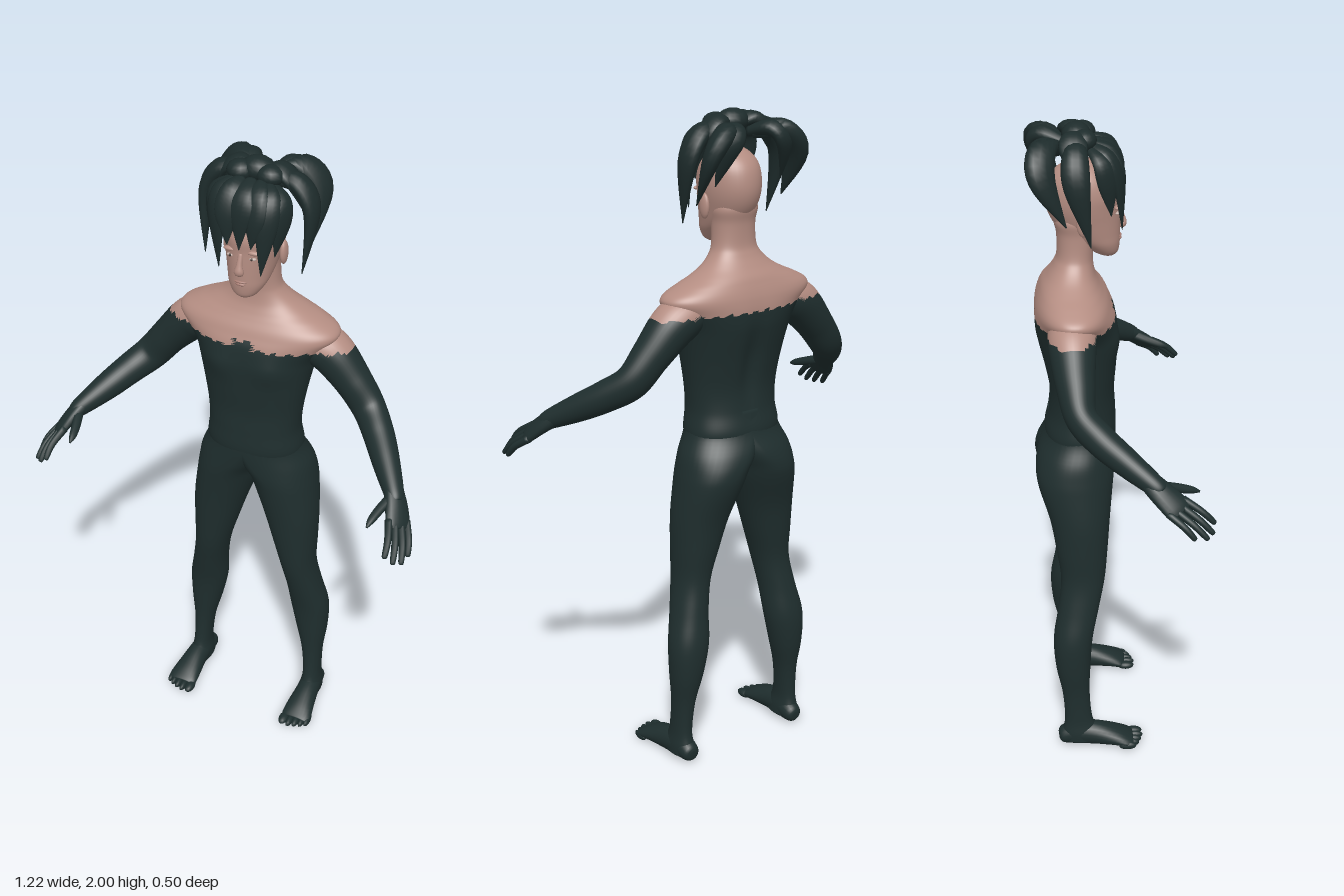
import * as THREE from 'three';

const V = (x, y, z) => new THREE.Vector3(x, y, z);
const mat = (name, color, side = THREE.FrontSide) => {
  const m = new THREE.MeshStandardMaterial({ color, side });
  m.name = name;
  return m;
};

// Smoothly resample rows of numbers (Catmull-Rom on every column)
function smooth(rows, steps) {
  const out = [];
  for (let i = 0; i < rows.length - 1; i++) {
    const p = rows[Math.max(i - 1, 0)], a = rows[i], b = rows[i + 1], n = rows[Math.min(i + 2, rows.length - 1)];
    for (let s = 0; s < steps; s++) {
      const t = s / steps;
      out.push(a.map((_, k) => {
        const m0 = (b[k] - p[k]) / 2, m1 = (n[k] - a[k]) / 2, d = b[k] - a[k];
        return a[k] + t * (m0 + t * (3 * d - 2 * m0 - m1 + t * (m0 + m1 - 2 * d)));
      }));
    }
  }
  out.push(rows[rows.length - 1]);
  return out;
}

// Skin closed rings into a capped smooth surface
function skinRings(rings) {
  const n = rings[0].length, pos = [], idx = [];
  rings.forEach(r => r.forEach(p => pos.push(p.x, p.y, p.z)));
  for (let i = 0; i < rings.length - 1; i++) for (let j = 0; j < n; j++) {
    const k = (j + 1) % n, a = i * n + j, b = i * n + k, c = b + n, d = a + n;
    idx.push(a, b, c, a, c, d);
  }
  [0, rings.length - 1].forEach(e => {
    const c = rings[e].reduce((s, p) => s.add(p), V(0, 0, 0)).divideScalar(n);
    const m = pos.length / 3;
    pos.push(c.x, c.y, c.z);
    for (let j = 0; j < n; j++) {
      const a = e * n + j, b = e * n + (j + 1) % n;
      idx.push(...(e ? [a, b, m] : [b, a, m]));
    }
  });
  const g = new THREE.BufferGeometry();
  g.setAttribute('position', new THREE.Float32BufferAttribute(pos, 3));
  g.setIndex(idx);
  g.computeVertexNormals();
  return g;
}

// Upright form, rows from bottom to top: y, left x, right x, front z, back z, x of the deepest point
function upright(rows, steps, n, power = 1, rule = p => p) {
  return skinRings(smooth(rows, steps).map(([y, x0, x1, zf, zb, xc]) => Array.from({ length: n }, (_, j) => {
    const a = j / n * Math.PI * 2, c = Math.cos(a), s = Math.sin(a);
    const q = v => Math.sign(v) * Math.abs(v) ** power;
    return rule(V(xc + q(c) * (c > 0 ? x1 - xc : xc - x0), y, (zf + zb) / 2 - q(s) * (zf - zb) / 2));
  })));
}

// Form along a path; rows: x, y, z, radius along side, radius across
function limb(rows, side, steps = 4, n = 12) {
  const r = smooth(rows, steps), at = i => V(...r[Math.min(Math.max(i, 0), r.length - 1)].slice(0, 3));
  return skinRings(r.map((row, i) => {
    const d = at(i + 1).sub(at(i - 1)).normalize();
    const u = side.clone().addScaledVector(d, -side.dot(d)).normalize(), v = d.clone().cross(u);
    return Array.from({ length: n }, (_, j) => {
      const a = j / n * Math.PI * 2;
      return at(i).addScaledVector(u, Math.cos(a) * row[3]).addScaledVector(v, Math.sin(a) * row[4]);
    });
  }));
}

const blob = (x, y, z, rx, ry, rz) => new THREE.SphereGeometry(1, 16, 10).scale(rx, ry, rz).translate(x, y, z);

function mirrored(g) {
  const m = g.clone().scale(-1, 1, 1), ix = m.index.array;
  for (let i = 0; i < ix.length; i += 3) [ix[i], ix[i + 1]] = [ix[i + 1], ix[i]];
  m.computeVertexNormals();
  return m;
}

// Split faces into suit (0) and bare skin (1) along the ragged neckline
function splitAtNeckline(g) {
  const p = g.attributes.position, ix = g.index.array, parts = [[], []];
  for (let i = 0; i < ix.length; i += 3) {
    const t = [ix[i], ix[i + 1], ix[i + 2]];
    const mean = f => t.reduce((s, k) => s + f(k), 0) / 3;
    const x = mean(k => p.getX(k)), y = mean(k => p.getY(k)), z = mean(k => p.getZ(k));
    const line = 1.438 + 0.004 * Math.sin(x * 150) + (Math.abs(x) < 0.032 && z > -0.1 ? 0.02 : 0);
    parts[y < line ? 0 : 1].push(...t);
  }
  g.setIndex([...parts[0], ...parts[1]]);
  g.addGroup(0, parts[0].length, 0);
  g.addGroup(parts[0].length, parts[1].length, 1);
  return g;
}

export function createModel() {
  const suit = mat('dark suit', 0x1f2e2e), skin = mat('skin', 0xb48d82), hair = mat('dark hair', 0x1e2c2c, THREE.DoubleSide);
  const lip = mat('lips', 0xa67c72), white = mat('eye white', 0xc4b0a8), iris = mat('iris', 0x3a2e2a);
  const model = new THREE.Group();
  const add = (name, g, m, both = false) => {
    (both ? [g, mirrored(g)] : [g]).forEach((geo, i) => {
      const mesh = new THREE.Mesh(geo, m);
      mesh.name = both ? (i ? 'right ' : 'left ') + name : name;
      model.add(mesh);
    });
  };
  const sym = rows => rows.map(([y, w, f, b]) => [y, -w, w, f, b, 0]);

  // Torso, shoulders and neck, with a spine groove and soft chest
  const torso = upright(sym([
    [1, 0.14, -0.015, -0.195], [1.06, 0.153, 0.004, -0.212], [1.13, 0.145, 0.003, -0.2], [1.2, 0.15, 0, -0.197],
    [1.28, 0.163, 0.006, -0.21], [1.36, 0.18, 0.01, -0.228], [1.4, 0.194, 0.008, -0.235], [1.44, 0.223, 0.002, -0.236],
    [1.47, 0.25, -0.01, -0.233], [1.492, 0.242, -0.02, -0.228], [1.515, 0.2, -0.034, -0.22], [1.535, 0.155, -0.045, -0.211],
    [1.56, 0.112, -0.055, -0.194], [1.59, 0.081, -0.06, -0.176], [1.62, 0.068, -0.06, -0.166],
    [1.68, 0.065, -0.055, -0.166], [1.72, 0.07, -0.055, -0.174], [1.75, 0.06, -0.06, -0.17]]), 7, 88, 0.9, p => {
    if (p.z < -0.12) p.z += 0.016 * Math.exp(-((p.x / 0.03) ** 2) - ((p.y - 1.28) / 0.12) ** 2);
    else p.z += 0.01 * Math.exp(-(((Math.abs(p.x) - 0.085) / 0.05) ** 2) - ((p.y - 1.37) / 0.05) ** 2);
    return p;
  });
  add('torso and shoulders', splitAtNeckline(torso), [suit, skin]);

  // Arms
  add('arm', splitAtNeckline(limb([
    [0.12, 1.445, -0.13, 0.05, 0.045], [0.165, 1.44, -0.13, 0.066, 0.058], [0.2, 1.427, -0.13, 0.07, 0.066],
    [0.24, 1.398, -0.13, 0.066, 0.066], [0.3, 1.332, -0.125, 0.056, 0.057], [0.357, 1.262, -0.112, 0.046, 0.053],
    [0.41, 1.217, -0.06, 0.045, 0.048], [0.46, 1.175, 0.005, 0.04, 0.042], [0.515, 1.13, 0.08, 0.03, 0.029],
    [0.53, 1.115, 0.1, 0.022, 0.02]], V(0, 0, 1), 9, 36)), [suit, skin], true);

  // Hands
  const across = V(0.62, -0.37, -0.68).normalize();
  add('palm', limb([[0.505, 1.14, 0.065, 0.03, 0.027], [0.53, 1.112, 0.1, 0.037, 0.022], [0.551, 1.08, 0.137, 0.041, 0.017],
    [0.561, 1.065, 0.152, 0.034, 0.011]], across, 4, 18), suit, true);
  [[0.553, 1.025, 0.247], [0.577, 1.006, 0.241], [0.597, 1, 0.224], [0.604, 1.004, 0.188]].forEach((tip, i) => {
    const base = V(0.55, 1.081, 0.136).addScaledVector(across, -0.032 + i * 0.021);
    const mid = base.clone().lerp(V(...tip), 0.55).add(V(0.005, 0.006, 0.002));
    add('finger ' + (i + 1), limb([[...base, 0.011, 0.012], [...mid, 0.01, 0.0105], [...V(...tip).lerp(mid, 0.12), 0.008, 0.008],
      [...tip, 0.002, 0.002]], across, 4, 10), suit, true);
  });
  add('thumb', limb([[0.515, 1.125, 0.09, 0.016, 0.016], [0.497, 1.11, 0.14, 0.014, 0.014], [0.486, 1.096, 0.185, 0.011, 0.011],
    [0.483, 1.088, 0.21, 0.003, 0.003]], across, 4, 10), suit, true);

  // Hips and legs: the two halves meet along the middle of the body
  add('hip and leg', upright([
    [0.02, 0.172, 0.242, -0.05, -0.183, 0.207], [0.05, 0.173, 0.242, -0.06, -0.18, 0.207], [0.1, 0.178, 0.236, -0.082, -0.17, 0.207],
    [0.2, 0.168, 0.236, -0.09, -0.176, 0.202], [0.3, 0.143, 0.246, -0.086, -0.195, 0.195], [0.4, 0.122, 0.247, -0.078, -0.2, 0.185],
    [0.5, 0.113, 0.226, -0.058, -0.184, 0.17], [0.6, 0.095, 0.209, -0.038, -0.173, 0.152], [0.7, 0.066, 0.209, -0.028, -0.186, 0.138],
    [0.8, 0.035, 0.208, -0.02, -0.203, 0.122], [0.9, 0, 0.198, -0.01, -0.234, 0.097], [0.95, -0.015, 0.191, -0.004, -0.242, 0.074],
    [1, -0.04, 0.18, 0.001, -0.236, 0.035], [1.06, -0.05, 0.154, 0.0045, -0.213, 0], [1.13, -0.05, 0.144, 0.002, -0.199, 0]],
  5, 44, 0.94), suit, true);

  // Feet and toes
  add('foot', limb([
    [0.205, 0.03, -0.19, 0.012, 0.014], [0.205, 0.032, -0.178, 0.028, 0.028], [0.207, 0.042, -0.13, 0.034, 0.041],
    [0.211, 0.04, -0.07, 0.038, 0.039], [0.213, 0.03, -0.01, 0.046, 0.029], [0.215, 0.02, 0.03, 0.05, 0.019],
    [0.215, 0.017, 0.047, 0.04, 0.012]], V(1, 0, 0), 4, 24), suit, true);
  [[0.178, 0.058, 0.016], [0.201, 0.06, 0.011], [0.221, 0.054, 0.011], [0.24, 0.046, 0.01], [0.256, 0.036, 0.01]]
    .forEach(([x, z, r], i) => add('toe ' + (i + 1), blob(x, 0.014, z - 0.006, r, 0.013, 0.028), suit, true));

  // Head and face
  add('head', upright(sym([
    [1.61, 0.018, 0, -0.035], [1.622, 0.037, 0.012, -0.06], [1.65, 0.056, 0.017, -0.1], [1.68, 0.066, 0.018, -0.145],
    [1.72, 0.075, 0.018, -0.178], [1.76, 0.083, 0.017, -0.194], [1.8, 0.086, 0.018, -0.196], [1.84, 0.08, 0.002, -0.186],
    [1.87, 0.062, -0.025, -0.162], [1.89, 0.035, -0.055, -0.125], [1.896, 0.008, -0.085, -0.1]]), 4, 40), skin);
  add('nose', limb([[0, 1.757, 0.012, 0.007, 0.007], [0, 1.725, 0.022, 0.009, 0.009], [0, 1.704, 0.025, 0.015, 0.012],
    [0, 1.694, 0.018, 0.01, 0.006]], V(1, 0, 0)), skin);
  add('ear', blob(0.087, 1.73, -0.09, 0.011, 0.037, 0.02), skin, true);
  add('brow ridge', blob(0.034, 1.763, 0.006, 0.022, 0.007, 0.009), skin, true);
  add('upper lip', blob(0, 1.669, 0.015, 0.02, 0.004, 0.007), lip);
  add('lower lip', blob(0, 1.661, 0.014, 0.016, 0.005, 0.008), lip);
  add('eye', blob(0.033, 1.745, 0.007, 0.012, 0.004, 0.007), white, true);
  add('iris', blob(0.033, 1.745, 0.0115, 0.004, 0.004, 0.004), iris, true);

  // Hair locks: root, bend, belly and tip points, with width and thickness of each
  const lock = (name, pts, w, t, side, both = true) => add(name, limb(pts.map((p, i) =>
    [...p, w * [0.45, 0.95, 1, 0.04][i], t * [0.6, 1, 0.8, 0.05][i]]), side, 6, 14), hair, both);
  const X = V(1, 0, 0.15), Z = V(0, 0, 1);
  lock('centre fringe lock', [[0, 1.95, -0.06], [0, 1.93, -0.01], [0, 1.88, 0.018], [0, 1.775, 0.026]], 0.036, 0.014, X, false);
  lock('inner fringe lock', [[0.03, 1.95, -0.06], [0.04, 1.93, -0.012], [0.042, 1.87, 0.016], [0.036, 1.785, 0.026]], 0.034, 0.016, X);
  lock('middle fringe lock', [[0.05, 1.945, -0.06], [0.075, 1.92, -0.018], [0.075, 1.85, 0.01], [0.064, 1.705, 0.02]], 0.032, 0.017, V(1, 0, -0.5));
  lock('outer fringe lock', [[0.06, 1.94, -0.07], [0.1, 1.912, -0.038], [0.105, 1.85, -0.022], [0.092, 1.755, -0.012]], 0.032, 0.016, V(0.6, 0, -1));
  lock('side lock', [[0.05, 1.94, -0.1], [0.115, 1.94, -0.112], [0.16, 1.86, -0.11], [0.15, 1.685, -0.072]], 0.037, 0.027, Z);
  lock('back lock', [[0.035, 1.935, -0.15], [0.095, 1.945, -0.2], [0.147, 1.88, -0.205], [0.15, 1.745, -0.14]], 0.041, 0.03, V(-0.5, 0, 1));
  lock('inner back lock', [[0.03, 1.935, -0.14], [0.065, 1.95, -0.2], [0.098, 1.91, -0.22], [0.115, 1.8, -0.18]], 0.035, 0.024, V(1, 0, 0.4));
  lock('crown lock', [[0.02, 1.955, -0.11], [0.06, 1.968, -0.115], [0.1, 1.94, -0.115], [0.135, 1.87, -0.1]], 0.038, 0.022, Z);
  add('top knot', blob(0, 1.965, -0.105, 0.05, 0.035, 0.042), hair);
  add('knot side', blob(0.045, 1.96, -0.085, 0.04, 0.03, 0.036), hair, true);
  return model;
}
